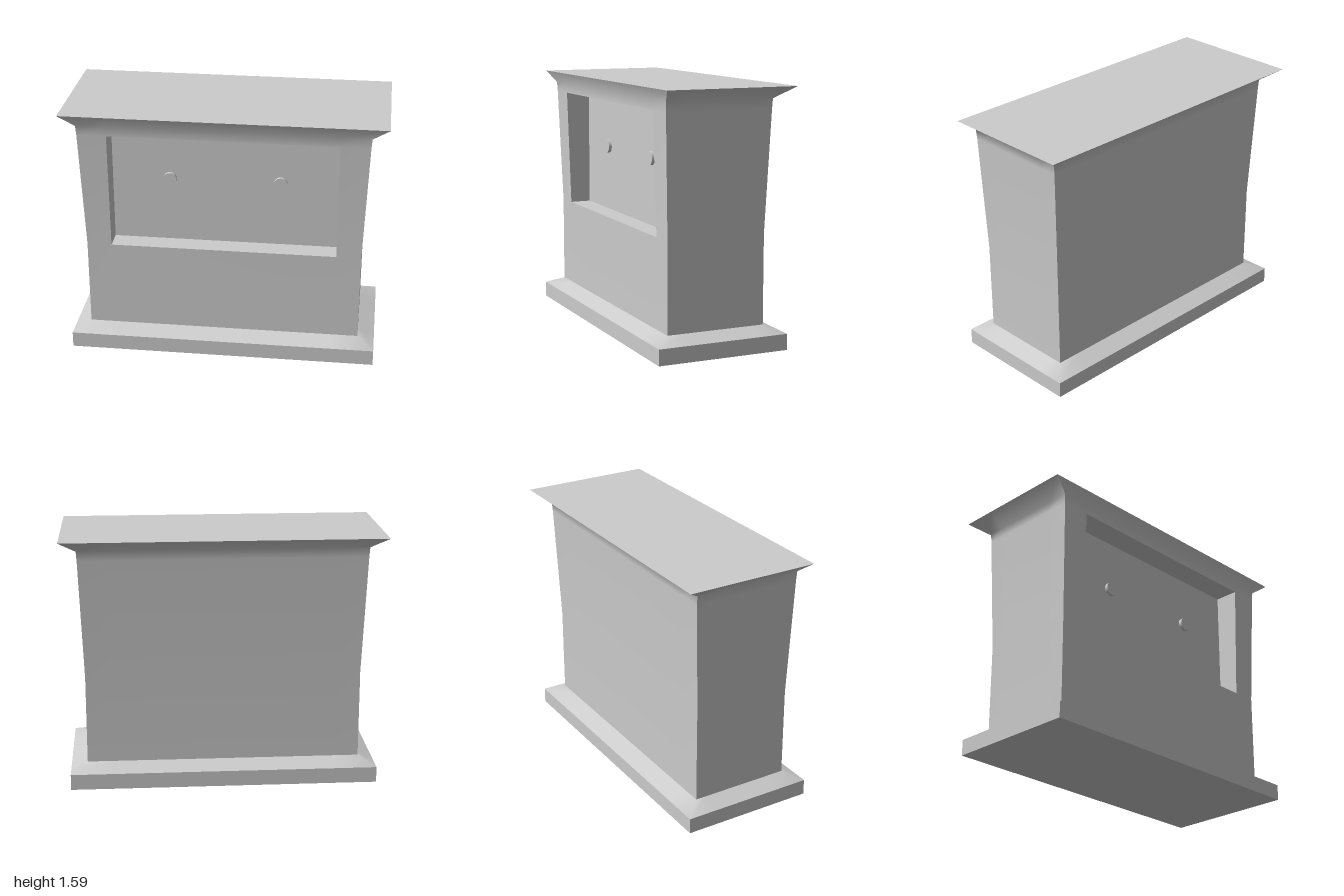
import * as THREE from 'three';
import { toCreasedNormals } from 'three/addons/utils/BufferGeometryUtils.js';

const material = new THREE.MeshStandardMaterial({ color: 0xcccccc });
const CREASE = 1.1;

// recessed panel opening in the front
const PANEL = { x: 0.71, bottom: 0.705, top: 1.455, back: 0.2 };

// horizontal levels: [y, half width, front z, back z]
const BASE = [
  [0, 0.97, 0.437, -0.41],
  [0.1, 0.97, 0.437, -0.41],
  [0.145, 0.865, 0.335, -0.3],
];
const BODY = [
  [0.145, 0.865, 0.335, -0.3],
  [PANEL.bottom, 0.865, 0.335, -0.3],
  [PANEL.top, 0.893, 0.358, -0.328],
  [1.515, 0.897, 0.361, -0.331],
  [1.59, 1, 0.401, -0.439],
];

// rectangular ring of 12 points, counter-clockwise seen from above
function ring([y, w, f, b]) {
  const x = PANEL.x, z = 0.22;
  return [
    [-w, f], [-x, f], [x, f],
    [w, f], [w, z], [w, -z],
    [w, b], [x, b], [-x, b],
    [-w, b], [-w, -z], [-w, z],
  ].map(([px, pz]) => [px, y, pz]);
}

function quad(out, a, b, c, d) {
  out.push(...a, ...b, ...c, ...a, ...c, ...d);
}

// side walls between successive rings; skip(level, column) leaves openings
function walls(out, levels, skip = () => false) {
  const rings = levels.map(ring);
  for (let i = 0; i < rings.length - 1; i++) {
    for (let j = 0; j < 12; j++) {
      if (skip(i, j)) continue;
      const k = (j + 1) % 12;
      quad(out, rings[i][j], rings[i][k], rings[i + 1][k], rings[i + 1][j]);
    }
  }
  return rings;
}

function makeMesh(name, positions) {
  const geometry = new THREE.BufferGeometry();
  geometry.setAttribute('position', new THREE.Float32BufferAttribute(positions, 3));
  const mesh = new THREE.Mesh(toCreasedNormals(geometry, CREASE), material);
  mesh.name = name;
  return mesh;
}

export function createModel() {
  const group = new THREE.Group();
  group.name = 'counter';

  // plinth with sloped upper edge
  const base = [];
  const foot = walls(base, BASE)[0];
  quad(base, foot[0], foot[9], foot[6], foot[3]);
  group.add(makeMesh('base', base));

  // body with flared cornice, open at the front panel
  const body = [];
  const rings = walls(body, BODY, (level, column) => level === 1 && column === 1);
  const top = rings[rings.length - 1];
  quad(body, top[0], top[3], top[6], top[9]);
  group.add(makeMesh('body', body));

  // recess: four reveals and a back wall
  const recess = [];
  const outer = [rings[1][1], rings[1][2], rings[2][2], rings[2][1]];
  const inner = outer.map(([x, y]) => [x, y, PANEL.back]);
  for (let i = 0; i < 4; i++) {
    const j = (i + 1) % 4;
    quad(recess, outer[i], outer[j], inner[j], inner[i]);
  }
  quad(recess, ...inner);
  group.add(makeMesh('panelRecess', recess));

  // two round buttons on the panel
  const disc = new THREE.CylinderGeometry(0.043, 0.043, 0.02, 32);
  disc.rotateX(Math.PI / 2);
  for (const [side, name] of [[1, 'leftButton'], [-1, 'rightButton']]) {
    const button = new THREE.Mesh(disc, material);
    button.position.set(side * 0.346, 1.125, PANEL.back + 0.01);
    button.name = name;
    group.add(button);
  }
  return group;
}
